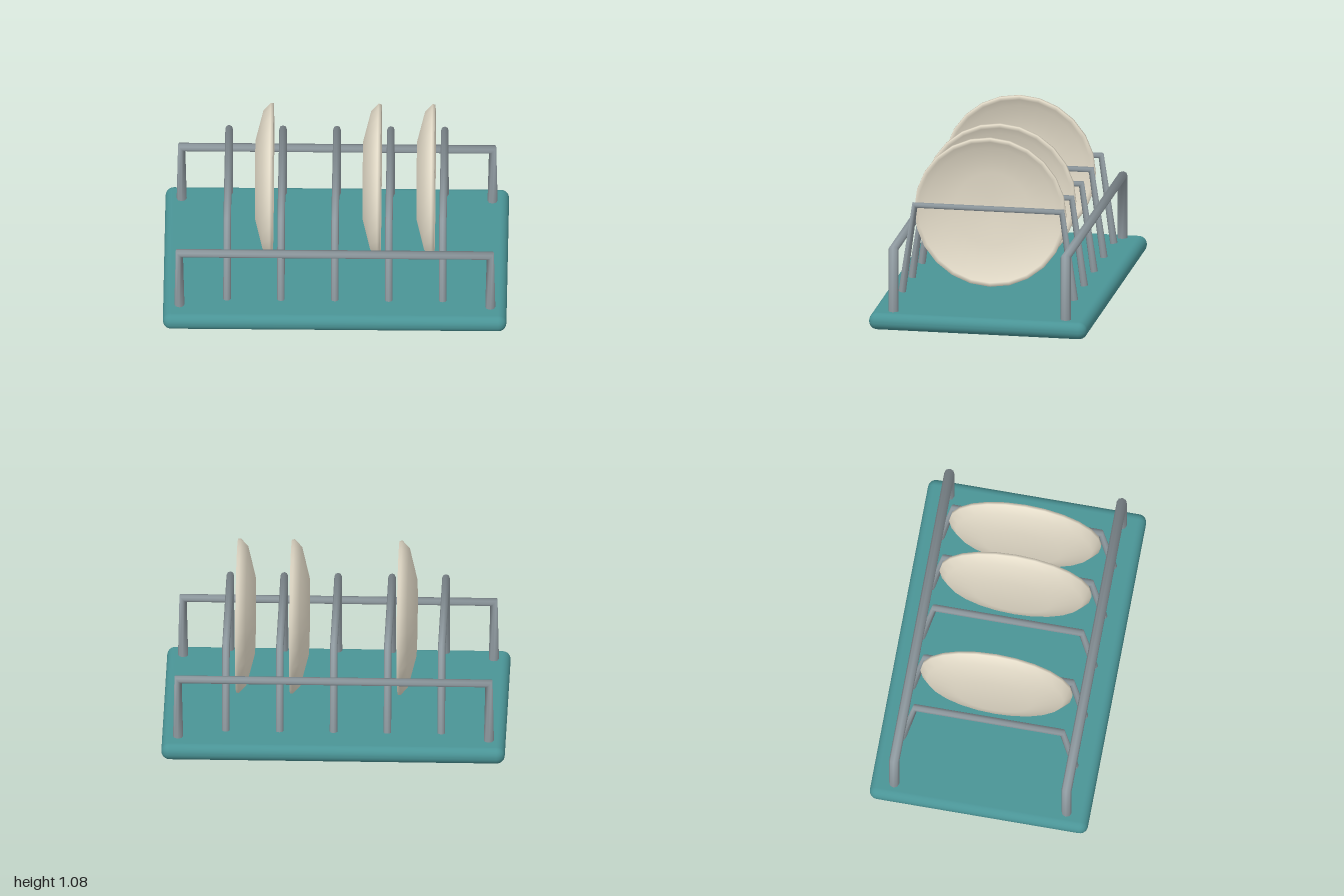
import * as THREE from 'three';
import { RoundedBoxGeometry } from 'three/addons/geometries/RoundedBoxGeometry.js';

const teal = new THREE.MeshStandardMaterial({ color: 0x4a9496 });
const steel = new THREE.MeshStandardMaterial({ color: 0x8f9aa0, side: THREE.DoubleSide });
const cream = new THREE.MeshStandardMaterial({ color: 0xe6decb });

// Straight segments between points, with one tube ring per point set at the mean direction
class BentPath extends THREE.Curve {
  constructor(points) {
    super();
    this.points = points;
  }
  index(u) {
    return Math.round(u * (this.points.length - 1));
  }
  getPointAt(u) {
    return this.points[this.index(u)].clone();
  }
  getTangentAt(u) {
    const i = this.index(u), p = this.points, t = new THREE.Vector3();
    if (i > 0) t.add(p[i].clone().sub(p[i - 1]).normalize());
    if (i < p.length - 1) t.add(p[i + 1].clone().sub(p[i]).normalize());
    return t.normalize();
  }
}

function bentRod(coords, radius, name) {
  const path = new BentPath(coords.map(c => new THREE.Vector3(...c)));
  const mesh = new THREE.Mesh(new THREE.TubeGeometry(path, coords.length - 1, radius, 8), steel);
  mesh.name = name;
  return mesh;
}

export function createModel() {
  const group = new THREE.Group();
  group.name = 'plateRack';

  // Base tray
  const base = new THREE.Mesh(new RoundedBoxGeometry(2, 0.1, 1.29, 4, 0.048), teal);
  base.name = 'base';
  base.position.y = 0.05;
  group.add(base);

  // Front and back rails with their posts
  for (const [z, name] of [[0.51, 'frontRail'], [-0.51, 'backRail']]) {
    group.add(bentRod([[-0.905, 0.08, z], [-0.905, 0.474, z], [0.905, 0.474, z], [0.905, 0.08, z]], 0.03, name));
  }

  // Divider wires across the rack
  for (let i = -2; i <= 2; i++) {
    const x = i * 0.314;
    group.add(bentRod([[x, 0.143, 0.51], [x, 0.668, 0.435], [x, 0.668, -0.435], [x, 0.143, -0.51]], 0.022, 'divider' + (i + 3)));
  }

  // Dished plates standing on edge, hollow side towards +x
  const profile = [
    [0, 0], [0.23, 0], [0.405, 0.045], [0.45, 0.088], [0.448, 0.105],
    [0.425, 0.105], [0.385, 0.075], [0.22, 0.032], [0, 0.026],
  ].map(p => new THREE.Vector2(...p));
  const plateGeometry = new THREE.LatheGeometry(profile, 24);
  plateGeometry.rotateZ(-Math.PI / 2);
  [-0.47, 0.157, 0.471].forEach((x, i) => {
    const plate = new THREE.Mesh(plateGeometry, cream);
    plate.name = 'plate' + (i + 1);
    plate.position.set(x, 0.63, 0);
    group.add(plate);
  });

  return group;
}
